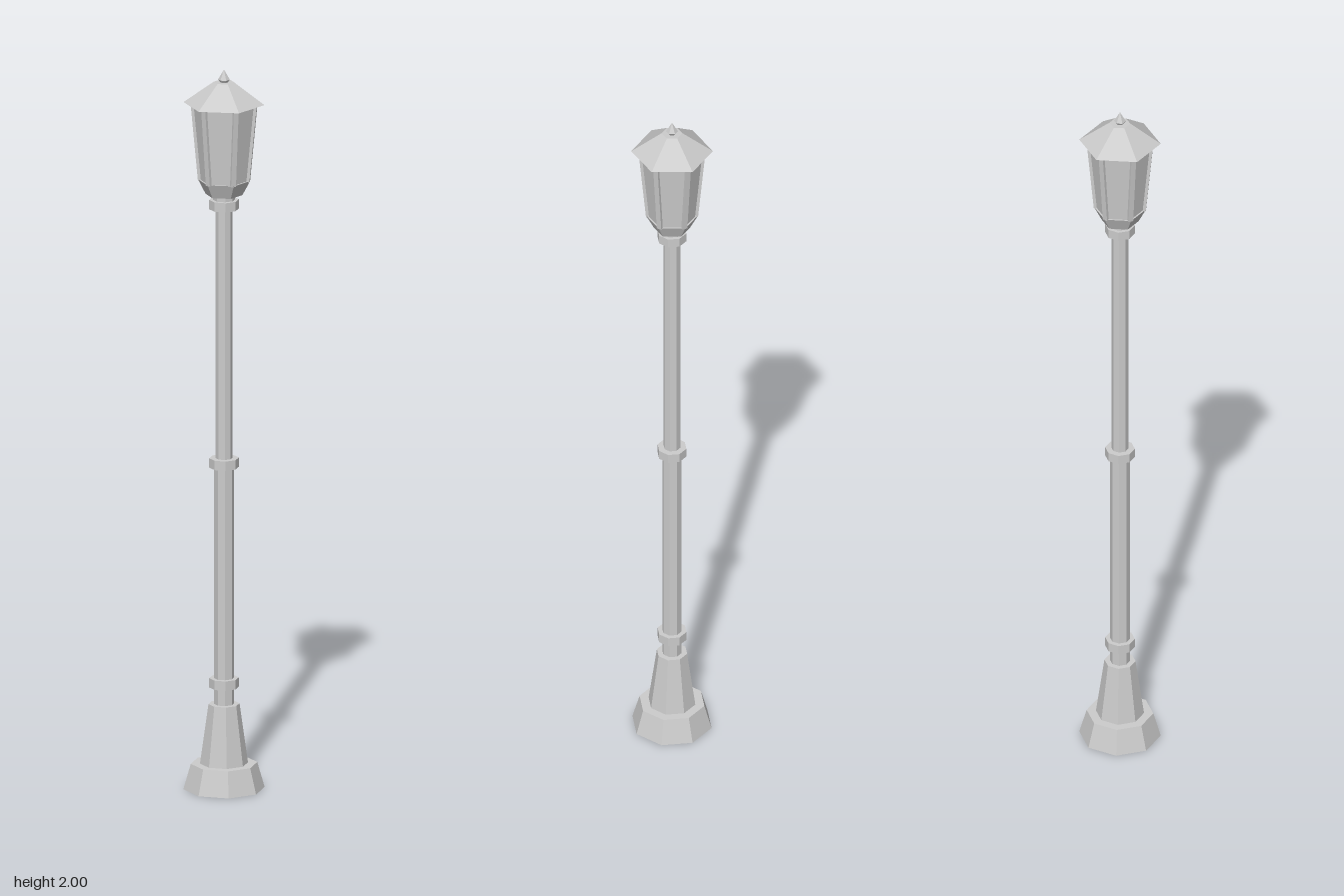
import * as THREE from 'three';

const metal = new THREE.MeshStandardMaterial({ color: 0xcccccc, flatShading: true });

export function createModel() {
  const lamp = new THREE.Group();
  lamp.name = 'streetLamp';

  // Tapered prism from y0 to y1, with corners on the x axis
  function prism(name, sides, y0, y1, r0, r1, parent = lamp) {
    const geometry = new THREE.CylinderGeometry(r1, r0, y1 - y0, sides);
    geometry.rotateY(Math.PI / 2);
    geometry.translate(0, (y0 + y1) / 2, 0);
    const mesh = new THREE.Mesh(geometry, metal);
    mesh.name = name;
    parent.add(mesh);
  }

  // Octagonal foot and tapered pedestal
  prism('foot', 8, 0, 0.07, 0.11, 0.09);
  prism('pedestal', 8, 0.07, 0.235, 0.065, 0.042);

  // Pole in two thicknesses, with collars
  prism('lowerPole', 8, 0.235, 0.905, 0.027, 0.027);
  prism('upperPole', 8, 0.905, 1.625, 0.023, 0.023);
  for (const y of [0.281, 0.893, 1.612]) prism('collar', 8, y, y + 0.026, 0.04, 0.04);
  prism('neck', 8, 1.625, 1.652, 0.03, 0.03);

  // Six-sided lantern
  const lantern = new THREE.Group();
  lantern.name = 'lantern';
  lamp.add(lantern);
  prism('lanternCup', 6, 1.652, 1.692, 0.05, 0.071, lantern);
  prism('glass', 6, 1.692, 1.905, 0.066, 0.086, lantern);

  // Slanted bars along the corners of the glass
  const up = new THREE.Vector3(0, 1, 0);
  for (let i = 0; i < 6; i++) {
    const a = i * Math.PI / 3;
    const at = (r, y) => new THREE.Vector3(r * Math.cos(a), y, r * Math.sin(a));
    const bottom = at(0.064, 1.69), top = at(0.084, 1.905);
    const axis = top.clone().sub(bottom);
    const geometry = new THREE.BoxGeometry(0.012, axis.length(), 0.014);
    geometry.rotateY(-a);
    const bar = new THREE.Mesh(geometry, metal);
    bar.name = 'cornerBar';
    bar.position.copy(bottom).add(top).multiplyScalar(0.5);
    bar.quaternion.setFromUnitVectors(up, axis.normalize());
    lantern.add(bar);
  }

  // Roof and finial
  prism('roof', 6, 1.905, 1.965, 0.11, 0.028, lantern);
  prism('finialStem', 6, 1.965, 1.972, 0.011, 0.016, lantern);
  prism('finialTip', 6, 1.972, 2, 0.016, 0, lantern);

  return lamp;
}
